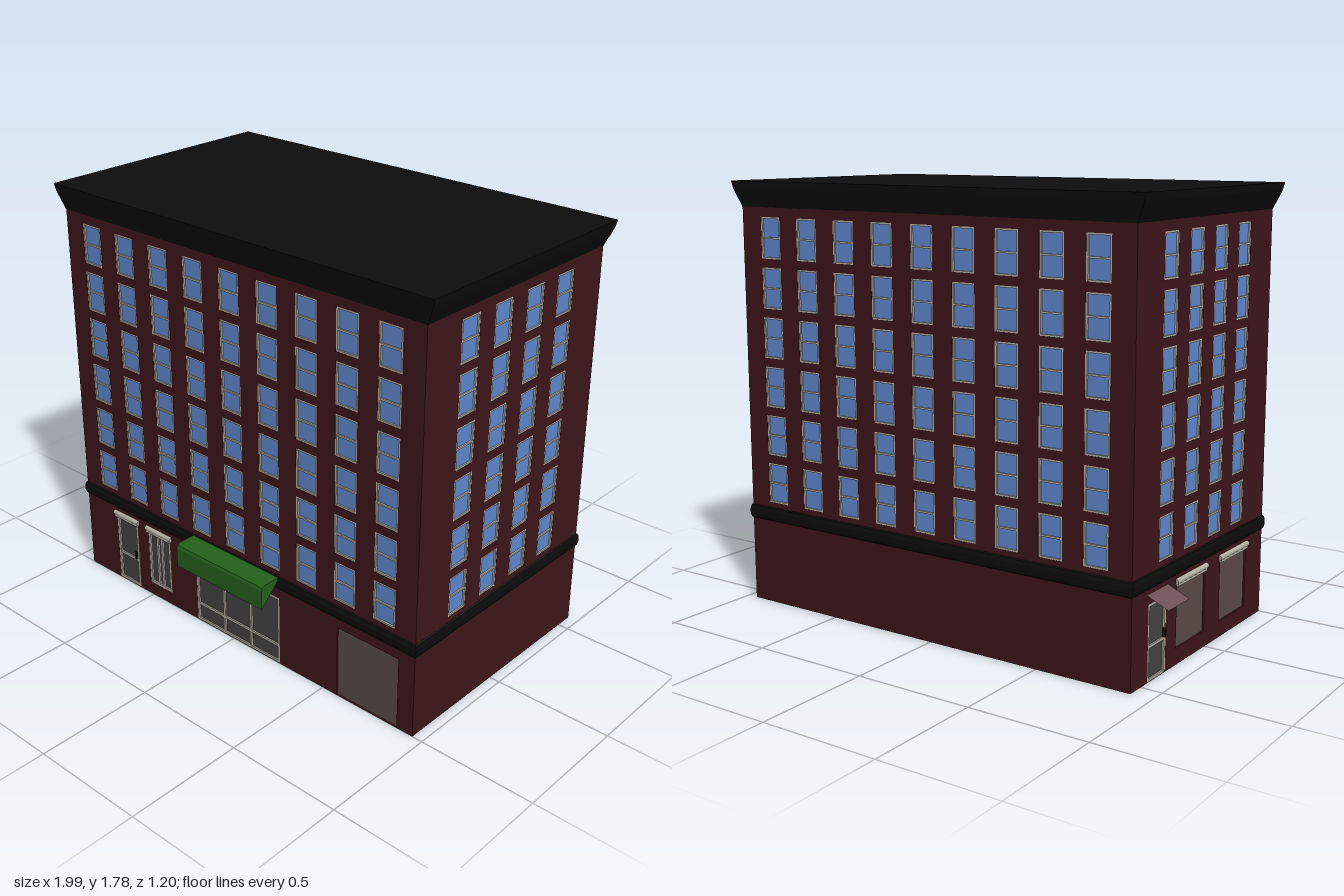
import * as THREE from 'three';
import { mergeGeometries } from 'three/addons/utils/BufferGeometryUtils.js';

const mat = (color, side = THREE.FrontSide) => new THREE.MeshStandardMaterial({ color, side });
const brick = mat(0x3e161b, THREE.DoubleSide);
const black = mat(0x0d0d0d, THREE.DoubleSide);
const blueGlass = mat(0x6089cf, THREE.DoubleSide);
const greyGlass = mat(0x444444, THREE.DoubleSide);
const panelBrown = mat(0x5c4b48, THREE.DoubleSide);
const frameMat = mat(0xb4b0a4);
const green = mat(0x24601a, THREE.DoubleSide);
const canopyMat = mat(0x6e5358, THREE.DoubleSide);

const CX = 0.022, CZ = -0.0375;      // centre of the block
const HX = 0.9325, HZ = 0.5375;      // half width and half depth
const T = 0.015;                     // wall thickness

function add(parent, name, geometry, material, x = 0, y = 0, z = 0) {
  const m = new THREE.Mesh(geometry, material);
  m.name = name;
  m.position.set(x, y, z);
  parent.add(m);
  return m;
}

const box = (w, h, d, x, y, z) => new THREE.BoxGeometry(w, h, d).translate(x, y, z);

// Wall slab with rectangular openings, outer face on z = 0
function wallGeometry(half, y0, y1, openings) {
  const rect = (C, a, b, c, d) => {
    const s = new C();
    s.moveTo(a, c); s.lineTo(b, c); s.lineTo(b, d); s.lineTo(a, d); s.closePath();
    return s;
  };
  const shape = rect(THREE.Shape, -half, half, y0, y1);
  for (const o of openings) shape.holes.push(rect(THREE.Path, o.x0, o.x1, Math.max(o.y0, 0.001), o.y1));
  return new THREE.ExtrudeGeometry(shape, { depth: T, bevelEnabled: false }).translate(0, 0, -T);
}

const paneGeometry = (o) => new THREE.PlaneGeometry(o.x1 - o.x0, o.y1 - o.y0)
  .translate((o.x0 + o.x1) / 2, (o.y0 + o.y1) / 2, -0.008);

// Border plus vertical and horizontal bars of one opening
function frameGeometry(o) {
  const { x0, x1, y0, y1, t, vs = [], hs = [] } = o;
  const parts = [];
  for (const x of [x0 + t / 2, ...vs, x1 - t / 2]) parts.push(box(t, y1 - y0, 0.012, x, (y0 + y1) / 2, -0.007));
  for (const y of [y0 + t / 2, ...hs, y1 - t / 2]) parts.push(box(x1 - x0, t, 0.011, (x0 + x1) / 2, y, -0.007));
  return mergeGeometries(parts);
}

// Closed band running round the block; each level is [y, outset in x, outset in z]
function ringGeometry(levels) {
  const pos = [], quad = (a, b, c, d) => pos.push(...a, ...b, ...c, ...a, ...c, ...d);
  const loop = ([y, ox, oz]) => [[1, 1], [1, -1], [-1, -1], [-1, 1]].map(([sx, sz]) => [sx * (HX + ox), y, sz * (HZ + oz)]);
  for (let i = 0; i + 1 < levels.length; i++) {
    const a = loop(levels[i]), b = loop(levels[i + 1]);
    for (let k = 0; k < 4; k++) { const n = (k + 1) % 4; quad(a[k], a[n], b[n], b[k]); }
  }
  const g = new THREE.BufferGeometry();
  // Corners run clockwise from above, so each triangle is flipped to face outward
  for (let i = 0; i < pos.length; i += 9) for (let k = 0; k < 3; k++) {
    const s = pos[i + 3 + k]; pos[i + 3 + k] = pos[i + 6 + k]; pos[i + 6 + k] = s;
  }
  g.setAttribute('position', new THREE.Float32BufferAttribute(pos, 3));
  g.computeVertexNormals();
  return g;
}

// One side of the block: ground storey, upper storeys and a grid of sash windows
function facade(name, half, columns, ground = []) {
  const g = new THREE.Group();
  g.name = name;
  const windows = [];
  for (let r = 0; r < 6; r++) for (let c = 0; c < columns; c++) {
    const x = 0.195 * (c - (columns - 1) / 2), y = 0.526 + 0.206 * r;
    windows.push({ x0: x - 0.052, x1: x + 0.052, y0: y - 0.085, y1: y + 0.085, t: 0.007, hs: [y] });
  }
  add(g, 'groundWall', wallGeometry(half, 0, 0.365, ground), brick);
  add(g, 'upperWall', wallGeometry(half, 0.415, 1.69, windows), brick);
  add(g, 'windowPanes', mergeGeometries(windows.map(paneGeometry)), blueGlass);
  add(g, 'windowFrames', mergeGeometries(windows.map(frameGeometry)), frameMat);
  for (const o of ground) {
    add(g, o.name, paneGeometry(o), o.t ? greyGlass : panelBrown);
    if (o.t) add(g, o.name + 'Frame', frameGeometry(o), frameMat);
    if (o.lintel) {
      const w = o.x1 - o.x0 + 0.02, x = (o.x0 + o.x1) / 2;
      const roll = new THREE.CylinderGeometry(0.012, 0.012, w, 12).rotateZ(Math.PI / 2);
      add(g, o.name + 'Lintel', mergeGeometries([roll, box(w - 0.01, 0.012, 0.016, 0, -0.012, 0)]), frameMat, x, 0.331, 0);
    }
    if (o.handle) add(g, o.name + 'Handle', box(0.008, 0.035, 0.012, o.handle, 0.16, 0.002), black);
  }
  return g;
}

export function createModel() {
  const model = new THREE.Group();
  model.name = 'apartmentBuilding';
  const block = new THREE.Group();
  block.name = 'block';
  block.position.set(CX, 0, CZ);
  model.add(block);

  // Street front: door, window, shopfront and garage
  const front = facade('frontFacade', HX, 9, [
    { name: 'entryDoor', x0: -0.742, x1: -0.607, y0: 0, y1: 0.315, t: 0.012, hs: [0.135], lintel: true, handle: -0.622 },
    { name: 'streetWindow', x0: -0.537, x1: -0.4, y0: 0.058, y1: 0.315, t: 0.012, vs: [-0.482, -0.455], lintel: true },
    { name: 'shopfront', x0: -0.239, x1: 0.243, y0: 0, y1: 0.315, t: 0.011, vs: [-0.077, 0.078], hs: [0.083] },
    { name: 'garageDoor', x0: 0.55, x1: 0.855, y0: 0, y1: 0.318 },
  ]);
  front.position.z = HZ;

  const back = facade('backFacade', HX, 9);
  back.rotation.y = Math.PI;
  back.position.z = -HZ;

  const left = facade('leftFacade', HZ, 4);
  left.rotation.y = Math.PI / 2;
  left.position.x = HX;

  // Side street: door and two wide windows
  const right = facade('rightFacade', HZ, 4, [
    { name: 'sideDoor', x0: -0.415, x1: -0.28, y0: 0, y1: 0.3, t: 0.011, hs: [0.135], handle: -0.295 },
    { name: 'sideWindowBack', x0: -0.2, x1: 0.03, y0: 0.065, y1: 0.318, lintel: true },
    { name: 'sideWindowFront', x0: 0.158, x1: 0.39, y0: 0.065, y1: 0.318, lintel: true },
  ]);
  right.rotation.y = -Math.PI / 2;
  right.position.x = -HX;
  block.add(front, back, left, right);

  // Sloping canopy over the side door
  const canopy = add(right, 'sideCanopy', new THREE.PlaneGeometry(0.16, 0.0985), canopyMat, -0.35, 0.32, 0.0447);
  canopy.rotation.x = -Math.PI / 2 + Math.atan2(0.04, 0.09);

  // String course, cornice and flat roof
  add(block, 'stringCourse', ringGeometry([
    [0.358, -0.001, -0.001], [0.363, 0.005, 0.005], [0.378, 0.009, 0.009],
    [0.4, 0.009, 0.009], [0.415, 0.005, 0.005], [0.42, -0.001, -0.001],
  ]), black);
  add(block, 'cornice', ringGeometry([
    [1.68, 0.001, 0.001], [1.695, 0.007, 0.004], [1.725, 0.021, 0.011],
    [1.755, 0.033, 0.018], [1.785, 0.04, 0.022],
  ]), black);
  add(block, 'roof', new THREE.PlaneGeometry(2 * (HX + 0.04), 2 * (HZ + 0.022)).rotateX(-Math.PI / 2), black, 0, 1.785, 0);

  // Shop awning, profile drawn as (z, y) and swept along x
  const profile = new THREE.Shape([[0.5, 0.415], [0.5, 0.408], [0.6, 0.31], [0.6, 0.395], [0.595, 0.408], [0.582, 0.415]]
    .map(([z, y]) => new THREE.Vector2(-z, y)));
  const awning = new THREE.ExtrudeGeometry(profile, { depth: 0.487, bevelEnabled: false }).rotateY(Math.PI / 2);
  add(model, 'shopAwning', awning, green, -0.222, 0, 0);

  return model;
}
